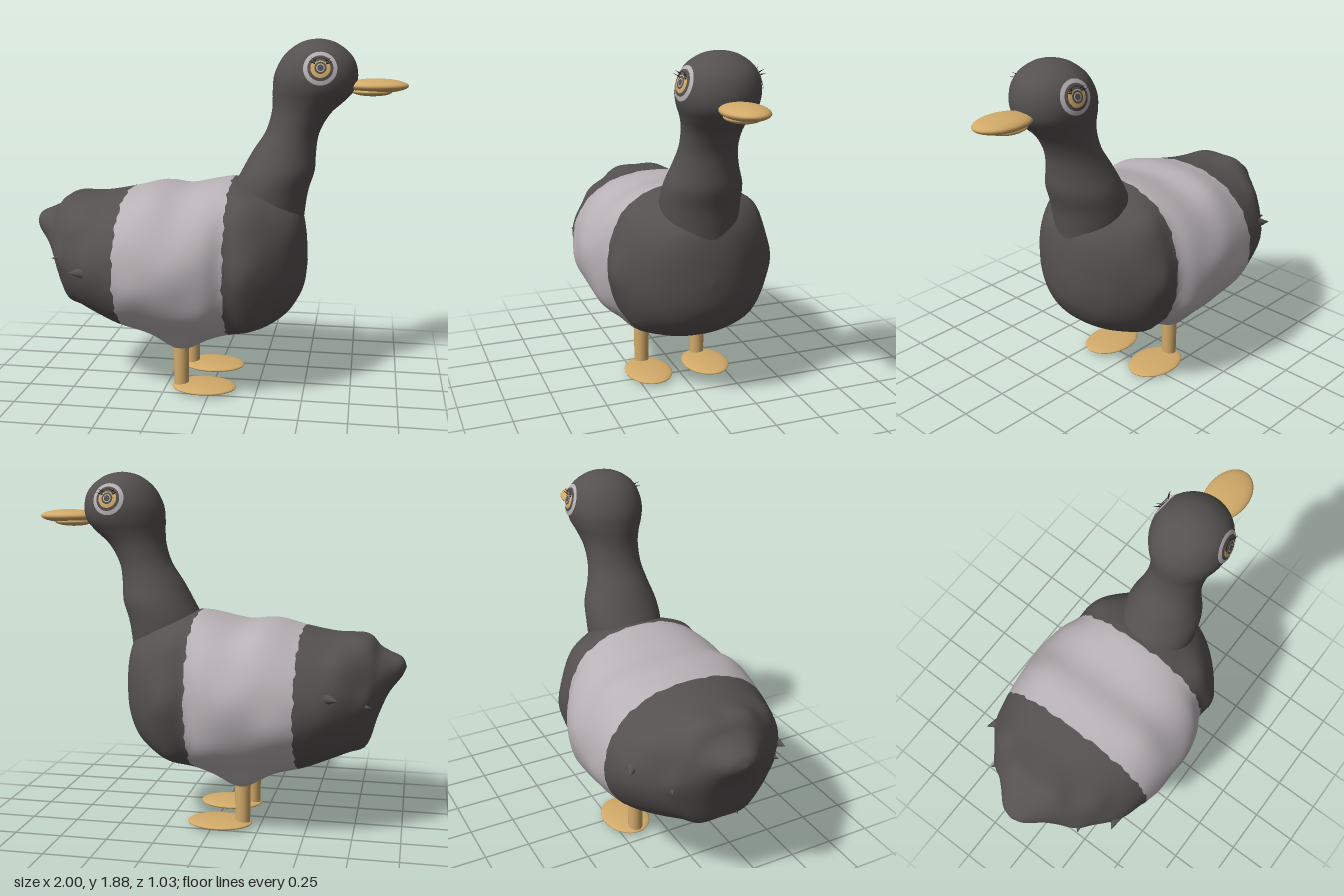
import * as THREE from 'three';

const mat = (name, color) => {
  const m = new THREE.MeshStandardMaterial({ color });
  m.name = name;
  return m;
};

// Smooth (Catmull-Rom) interpolation through the rows of a small table
function spline(table, t) {
  const last = table.length - 1;
  const i = Math.min(Math.floor(t), last - 1), f = t - i;
  const row = k => table[Math.max(0, Math.min(last, k))];
  const [a, b, c, d] = [row(i - 1), row(i), row(i + 1), row(i + 2)];
  return b.map((p, k) => p + 0.5 * f * (c[k] - a[k] + f * (2 * a[k] - 5 * p + 4 * c[k] - d[k]
    + f * (3 * (p - c[k]) + d[k] - a[k]))));
}

// Skin closed rings: pointAt(row, angle, column) gives each vertex
function loft(rows, cols, pointAt) {
  const pos = [], index = [];
  for (let i = 0; i <= rows; i++)
    for (let j = 0; j < cols; j++) pos.push(...pointAt(i, j / cols * Math.PI * 2, j));
  for (let i = 0; i < rows; i++)
    for (let j = 0; j < cols; j++) {
      const a = i * cols + j, b = i * cols + (j + 1) % cols;
      index.push(a, b, a + cols, b, b + cols, a + cols);
    }
  const g = new THREE.BufferGeometry();
  g.setAttribute('position', new THREE.Float32BufferAttribute(pos, 3));
  g.setIndex(index);
  g.computeVertexNormals();
  return g;
}

const power = (v, e) => Math.sign(v) * Math.abs(v) ** e;
const gauss = (d, w) => Math.exp(-d * d / (w * w));

// Body sections from tail to breast: x, bottom, top, half width
const BODY = [
  [-0.998, 0.88, 0.88, 0], [-0.975, 0.83, 0.93, 0.07], [-0.91, 0.74, 0.96, 0.14],
  [-0.86, 0.62, 0.985, 0.2], [-0.81, 0.48, 1.03, 0.265], [-0.72, 0.425, 1.045, 0.35],
  [-0.6, 0.375, 1.055, 0.425], [-0.46, 0.325, 1.08, 0.478], [-0.3, 0.3, 1.115, 0.498],
  [-0.15, 0.285, 1.105, 0.498], [0, 0.29, 1.135, 0.482], [0.1, 0.3, 1.15, 0.435],
  [0.2, 0.32, 1.13, 0.43], [0.3, 0.355, 1.1, 0.385], [0.4, 0.425, 1.05, 0.29],
  [0.46, 0.51, 0.99, 0.19], [0.49, 0.59, 0.87, 0.1], [0.503, 0.71, 0.71, 0]];

// Feather lumps on both sides: x, y, z, height, radius
const LUMPS = [
  [-0.62, 0.72, 0.4, 0.025, 0.12], [-0.8, 0.74, 0.26, 0.025, 0.07], [-0.79, 0.5, 0.12, 0.02, 0.07],
  [-0.78, 1.01, 0.12, 0.018, 0.08], [-0.68, 0.92, 0.3, 0.02, 0.08], [-0.14, 0.73, 0.5, 0.02, 0.12],
  [-0.36, 0.62, 0.48, 0.015, 0.1], [-0.28, 1.02, 0.3, 0.015, 0.12], [-0.02, 0.5, 0.42, 0.015, 0.1],
  [0.21, 0.72, 0.42, 0.02, 0.09], [0.2, 1.0, 0.3, 0.025, 0.09], [0.2, 0.42, 0.3, 0.02, 0.09]];

// Neck and head sections: y, back x, front x, half width
const NECK = [
  [0.85, 0.14, 0.47, 0.16], [1.0, 0.1, 0.484, 0.2], [1.1, 0.1, 0.5, 0.208],
  [1.2, 0.148, 0.53, 0.2], [1.3, 0.203, 0.535, 0.168], [1.4, 0.267, 0.55, 0.147],
  [1.5, 0.298, 0.605, 0.15], [1.57, 0.303, 0.68, 0.17], [1.63, 0.303, 0.73, 0.195],
  [1.7, 0.31, 0.742, 0.205], [1.77, 0.34, 0.727, 0.19], [1.82, 0.38, 0.69, 0.16],
  [1.86, 0.435, 0.635, 0.105], [1.878, 0.485, 0.585, 0.055], [1.885, 0.535, 0.535, 0]];

export function createModel() {
  const dark = mat('dark feathers', 0x545150);
  const light = mat('light feathers', 0xb8b1b5);
  const gold = mat('gold', 0xd2aa69);
  const black = mat('lash black', 0x262424);
  const duck = new THREE.Group();
  duck.name = 'duck';
  const add = (parent, name, geo, material, x = 0, y = 0, z = 0) => {
    const m = new THREE.Mesh(geo, material);
    m.name = name;
    m.position.set(x, y, z);
    parent.add(m);
    return m;
  };
  const ellipsoid = (name, material, p, s) =>
    add(duck, name, new THREE.SphereGeometry(1, 32, 20), material, ...p).scale.set(...s);

  // Body with a light band round the middle
  const SUB = 5, COLS = 84, bandStart = 7 * SUB, bandEnd = 11 * SUB, rows = (BODY.length - 1) * SUB;
  const bodyGeo = loft(rows, COLS, (i, a, j) => {
    let [x, lo, hi, w] = spline(BODY, i / SUB);
    const c = Math.cos(a), s = Math.sin(a);
    // rounder sections at the tail, squarer at the breast
    const e = THREE.MathUtils.mapLinear(x, -1, 0.5, 0.96, 0.84);
    let y = (hi + lo) / 2 + (hi - lo) / 2 * power(c, e);
    let z = w * power(s, e);
    // feather lumps push outwards
    let push = 0;
    for (const [lx, ly, lz, h, r] of LUMPS)
      push += h * gauss(Math.hypot(x - lx, y - ly, Math.abs(z) - lz), r);
    y += c * push;
    z += s * push;
    // lobes above the legs
    if (c < 0) y -= 0.075 * gauss(x + 0.16, 0.13) * gauss(Math.abs(z) - 0.2, 0.1);
    // ragged colour borders
    if (i === bandStart || i === bandEnd) x += 0.005 * Math.sin(j * 2.4) + 0.004 * Math.sin(j * 5.1);
    return [x, y, z];
  });
  const tri = COLS * 6;
  bodyGeo.addGroup(0, bandStart * tri, 0);
  bodyGeo.addGroup(bandStart * tri, (bandEnd - bandStart) * tri, 1);
  bodyGeo.addGroup(bandEnd * tri, (rows - bandEnd) * tri, 0);
  add(duck, 'body', bodyGeo, [dark, light]);

  // Pointed feather tips round the tail: base position, then tip direction
  const feathers = [[-0.77, 0.72, -0.27, -0.1, 0, -0.05], [-0.62, 0.78, -0.41, -0.1, 0, -0.07],
    [-0.77, 0.74, 0.27, -0.1, 0, 0.05], [-0.64, 0.7, 0.41, -0.1, 0, 0.03],
    [-0.76, 0.5, 0.08, -0.09, -0.04, 0], [-0.75, 0.99, 0.08, -0.09, 0.03, 0]];
  for (const [x, y, z, ...tip] of feathers) {
    const dir = new THREE.Vector3(...tip);
    const m = add(duck, 'tailFeather', new THREE.ConeGeometry(0.06, 0.14, 16), dark, x, y, z);
    m.quaternion.setFromUnitVectors(new THREE.Vector3(0, 1, 0), dir.normalize());
  }

  // Neck and head
  add(duck, 'neckAndHead', loft((NECK.length - 1) * 4, 48, (i, a) => {
    const [y, back, front, w] = spline(NECK, i / 4);
    return [(back + front) / 2 + (front - back) / 2 * Math.sin(a), y, w * Math.cos(a)];
  }), dark);

  // Bill
  ellipsoid('upperBill', gold, [0.84, 1.648, 0], [0.16, 0.036, 0.11]);
  ellipsoid('lowerBill', gold, [0.815, 1.618, 0], [0.105, 0.024, 0.085]);

  // Eyes are thin caps and rings over the head; local +y points out of the eye
  const ring = (r, from, to, phi = 0, len = Math.PI * 2) =>
    new THREE.SphereGeometry(r, 32, 4, phi, len, from, to - from);
  for (const s of [1, -1]) {
    const eye = new THREE.Group();
    eye.name = s > 0 ? 'leftEye' : 'rightEye';
    eye.position.set(0.535, 1.69, 0);
    const out = new THREE.Vector3(0.022, 0.055, 0.19 * s).normalize();
    const side = new THREE.Vector3(1, 0, 0).addScaledVector(out, -out.x).normalize();
    const across = new THREE.Vector3().crossVectors(side, out);
    eye.quaternion.setFromRotationMatrix(new THREE.Matrix4().makeBasis(side, out, across));
    duck.add(eye);
    add(eye, 'eyeBase', ring(0.207, 0, 0.42), dark);
    add(eye, 'eyeRing', ring(0.2095, 0.315, 0.42), light);
    add(eye, 'iris', ring(0.2105, 0, 0.24), gold);
    add(eye, 'pupil', ring(0.212, 0, 0.145), dark);
    add(eye, 'innerIris', ring(0.2125, 0.075, 0.1), light);
    // eyelid on the brow side with a lash line and lashes
    const brow = -s * Math.PI / 2;
    add(eye, 'eyelid', ring(0.2145, 0.17, 0.3, brow - 0.9, 1.8), dark);
    add(eye, 'lashLine', ring(0.216, 0.225, 0.242, brow - 1.1, 2.2), black);
    for (const k of [-1.05, -0.7, 0.7, 1.05]) {
      const a = brow + k, t = 0.24;
      const lash = add(eye, 'lash', new THREE.ConeGeometry(0.004, 0.04, 6), black,
        -Math.cos(a) * Math.sin(t) * 0.222, Math.cos(t) * 0.222, Math.sin(a) * Math.sin(t) * 0.222);
      lash.quaternion.setFromUnitVectors(new THREE.Vector3(0, 1, 0),
        new THREE.Vector3(-Math.cos(a), 0.5, Math.sin(a) * 0.4).normalize());
    }
  }

  // Legs and flat oval feet
  for (const s of [1, -1]) {
    add(duck, 'leg', new THREE.CylinderGeometry(0.043, 0.04, 0.3, 24), gold, -0.16, 0.18, s * 0.17 + 0.005);
    ellipsoid('foot', gold, [-0.035, 0.024, s * 0.172 + 0.003], [0.175, 0.022, 0.13]);
  }
  return duck;
}
